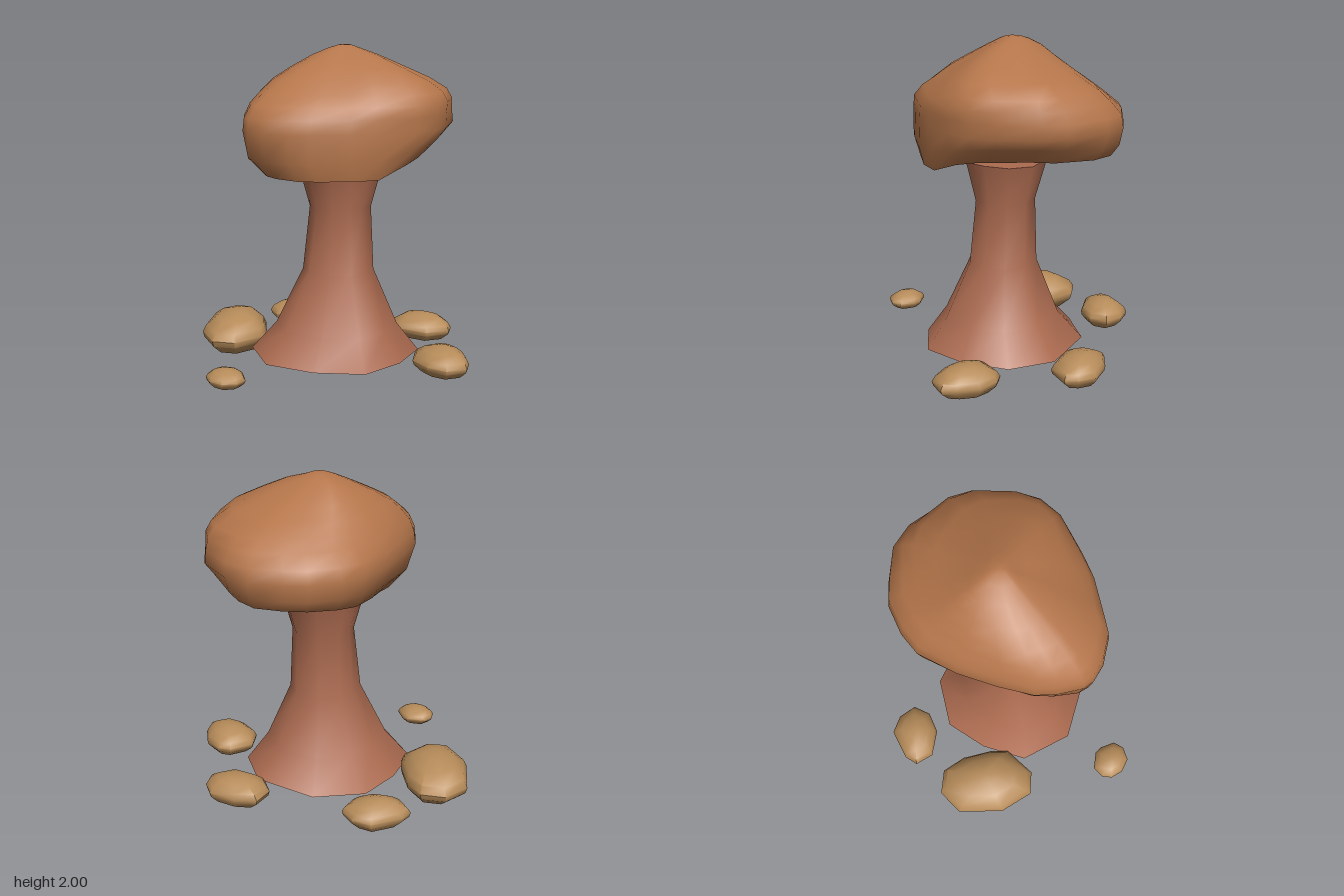
import * as THREE from 'three';
import { toCreasedNormals } from 'three/addons/utils/BufferGeometryUtils.js';

// Skin a stack of equal-length rings (bottom to top) and close both ends.
function loft(name, rings, color, crease) {
  const n = rings[0].length, pos = [], idx = [];
  rings.forEach((ring) => ring.forEach((p) => pos.push(...p)));
  for (let i = 0; i < rings.length - 1; i++) {
    for (let j = 0; j < n; j++) {
      const a = i * n + j, b = i * n + ((j + 1) % n);
      idx.push(a, a + n, b, b, a + n, b + n);
    }
  }
  [0, rings.length - 1].forEach((r) => {
    const centre = pos.length / 3;
    pos.push(...[0, 1, 2].map((k) => rings[r].reduce((s, p) => s + p[k], 0) / n));
    for (let j = 0; j < n; j++) {
      const a = r * n + j, b = r * n + ((j + 1) % n);
      idx.push(...(r === 0 ? [centre, a, b] : [centre, b, a]));
    }
  });
  const geo = new THREE.BufferGeometry();
  geo.setAttribute('position', new THREE.Float32BufferAttribute(pos, 3));
  geo.setIndex(idx);
  const mesh = new THREE.Mesh(toCreasedNormals(geo, crease), new THREE.MeshStandardMaterial({ color }));
  mesh.name = name;
  return mesh;
}

// Refit one plan coordinate from the outline's range to a new one, about a fixed centre
const refit = (v, c, [from0, from1], to0, to1) =>
  c + (v - c) * (v < c ? (to0 - c) / (from0 - c) : (to1 - c) / (from1 - c));

// Flared pedestal: each level is [y, xMin, xMax, zMin, zMax]
function createPedestal() {
  const outline = [
    [0.57, 0.08], [0.46, 0.36], [0.2, 0.5], [-0.09, 0.535], [-0.33, 0.335],
    [-0.49, 0.05], [-0.39, -0.28], [-0.13, -0.42], [0.15, -0.48], [0.43, -0.31],
  ];
  const levels = [
    [0.07, -0.49, 0.57, -0.48, 0.535],
    [0.25, -0.34, 0.42, -0.31, 0.42],
    [0.6, -0.16, 0.28, -0.17, 0.26],
    [1.0, -0.105, 0.275, -0.15, 0.22],
    [1.25, -0.17, 0.345, -0.225, 0.28],
  ];
  const rings = levels.map(([y, x0, x1, z0, z1]) => outline.map(([x, z]) => [
    refit(x, 0.06, [-0.49, 0.57], x0, x1), y, refit(z, 0.03, [-0.48, 0.535], z0, z1),
  ]));
  return loft('pedestal', rings, 0xac6b50, 1.05);
}

// Balanced boulder: a plan outline resized at each level, on a tilted underside
function createBoulder() {
  const outline = [
    [-0.6, 0.05], [-0.59, -0.02], [-0.51, -0.15], [-0.42, -0.25], [-0.24, -0.36], [-0.02, -0.47],
    [0.23, -0.55], [0.38, -0.535], [0.56, -0.47], [0.67, -0.37], [0.8, -0.22], [0.84, -0.05],
    [0.8, 0.22], [0.72, 0.35], [0.525, 0.52], [0.39, 0.595], [0.23, 0.615], [-0.02, 0.555],
    [-0.18, 0.49], [-0.38, 0.365], [-0.48, 0.3], [-0.57, 0.16],
  ];
  // [y, xMin, xMax, zMin, zMax, skew]; in the two lowest levels y is a share of the way
  // up from the underside. Skew narrows one diagonal of the plan and widens the other.
  const levels = [
    [0, -0.46, 0.73, -0.44, 0.56, 0.12],
    [0.4, -0.57, 0.8, -0.51, 0.6, 0.05],
    [1.52, -0.6, 0.84, -0.55, 0.615, 0],
    [1.6, -0.59, 0.83, -0.53, 0.61, 0],
    [1.67, -0.54, 0.79, -0.47, 0.6, -0.05],
    [1.73, -0.46, 0.73, -0.42, 0.55, -0.1],
    [1.8, -0.36, 0.58, -0.36, 0.49, -0.14],
    [1.87, -0.22, 0.43, -0.28, 0.36, -0.16],
    [1.94, -0.07, 0.29, -0.19, 0.22, -0.16],
    [1.98, 0.02, 0.21, -0.1, 0.1, -0.1],
    [2.0, 0.08, 0.16, -0.03, 0.05, 0],
  ];
  const cx = 0.12, cz = 0.02;
  const rings = levels.map(([h, x0, x1, z0, z1, skew]) => outline.map(([px, pz]) => {
    const dx = refit(px, cx, [-0.6, 0.84], x0, x1) - cx;
    const dz = refit(pz, cz, [-0.55, 0.615], z0, z1) - cz;
    const s = 1 - (skew * 2 * dx * dz) / (dx * dx + dz * dz);
    const x = cx + dx * s, z = cz + dz * s;
    // The underside is tilted, with the +x +z corner cut away more steeply
    const tilt = THREE.MathUtils.clamp(1.245 + 0.11 * (x + 0.2) - 0.06 * z, 1.245, 1.35);
    const under = Math.max(tilt, 1.27 + 0.35 * (x + z - 0.6));
    return [x, h < 1 ? under + h * (1.52 - under) : h, z];
  }));
  return loft('boulder', rings, 0xb5764b, 1.05);
}

// Loose stone: a plan outline pulled in towards a flat base and a rounded top
function createStone(y0, y1, outline) {
  const n = outline.length;
  const cx = outline.reduce((s, p) => s + p[0], 0) / n;
  const cz = outline.reduce((s, p) => s + p[1], 0) / n;
  const profile = [[0, 0.7], [0.28, 0.96], [0.45, 1], [0.65, 0.9], [0.87, 0.62], [1, 0.25]];
  const rings = profile.map(([t, s]) => outline.map(([x, z]) =>
    [cx + (x - cx) * s, y0 + (y1 - y0) * t, cz + (z - cz) * s]));
  return loft('stone', rings, 0xb78c5a, 0.85);
}

export function createModel() {
  const model = new THREE.Group();
  model.name = 'balancedRock';
  model.add(createPedestal(), createBoulder());

  // Scattered stones round the foot
  const stones = new THREE.Group();
  stones.name = 'stones';
  stones.add(
    createStone(0, 0.23, [[-0.6, -0.43], [-0.55, -0.65], [-0.35, -0.86], [-0.17, -0.86], [-0.07, -0.74],
      [-0.1, -0.58], [-0.2, -0.41], [-0.28, -0.33], [-0.5, -0.32]]),
    createStone(0.02, 0.18, [[0.07, -0.72], [0.1, -0.84], [0.19, -0.86], [0.38, -0.8], [0.43, -0.69],
      [0.41, -0.57], [0.3, -0.53], [0.17, -0.58]]),
    createStone(0.02, 0.18, [[0.57, 0], [0.62, -0.12], [0.75, -0.17], [0.85, -0.07], [0.92, 0.09],
      [0.88, 0.2], [0.82, 0.25], [0.66, 0.2]]),
    createStone(0.02, 0.18, [[0.25, 0.7], [0.26, 0.55], [0.36, 0.45], [0.52, 0.48], [0.57, 0.55],
      [0.57, 0.68], [0.5, 0.8], [0.43, 0.86], [0.3, 0.82]]),
    createStone(0.04, 0.14, [[-0.93, 0.13], [-0.91, 0.05], [-0.86, 0.01], [-0.78, 0.01], [-0.71, 0.1],
      [-0.71, 0.15], [-0.75, 0.24], [-0.82, 0.26], [-0.9, 0.22]]),
  );
  model.add(stones);
  return model;
}
